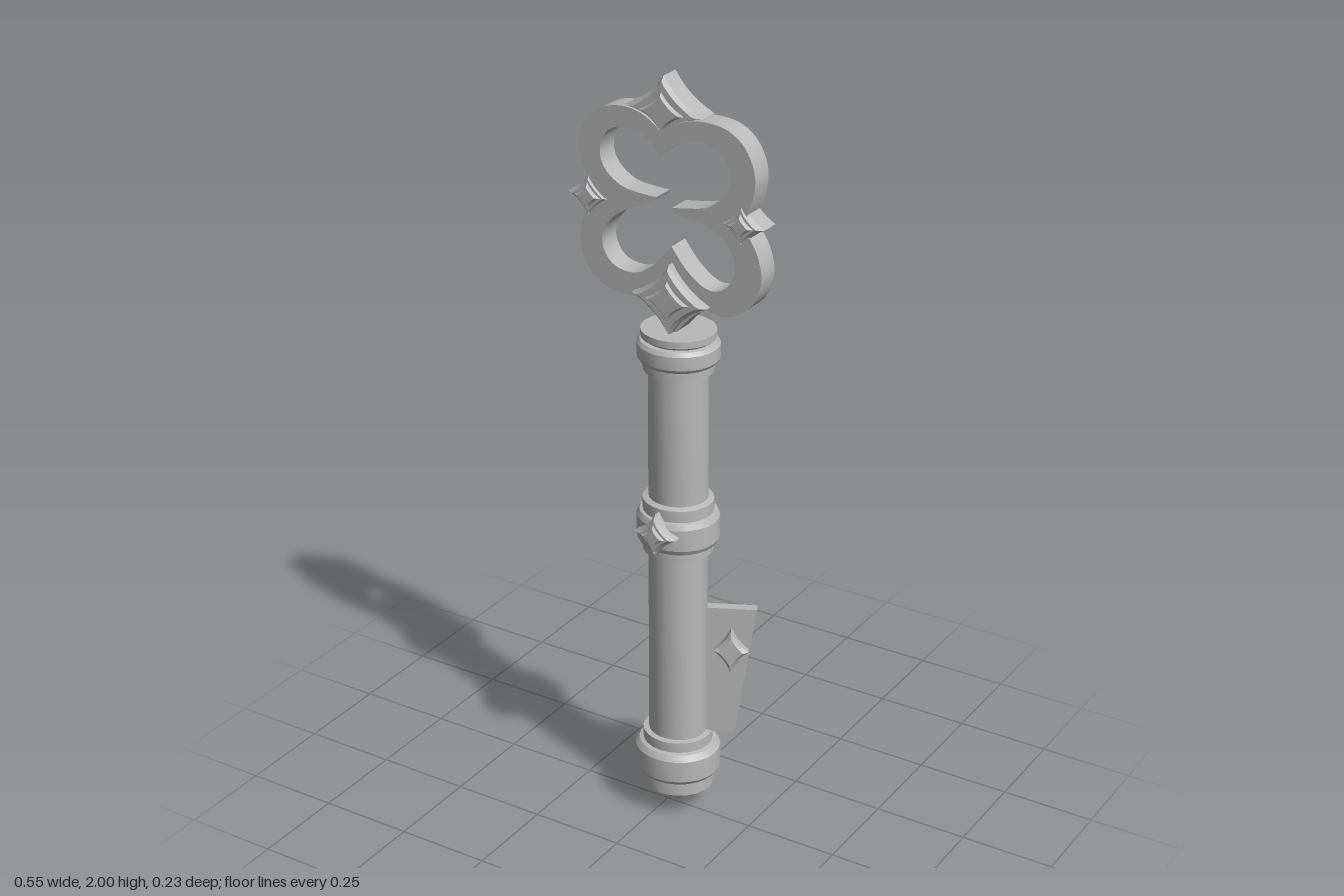
import * as THREE from 'three';
import { toCreasedNormals } from 'three/addons/utils/BufferGeometryUtils.js';

const metal = new THREE.MeshStandardMaterial({ color: 0xb8b8b8 });
metal.name = 'grey metal';

function part(name, geometry, crease = 0.45) {
  const mesh = new THREE.Mesh(toCreasedNormals(geometry, crease), metal);
  mesh.name = name;
  return mesh;
}

// Four-pointed plate with concave sides and chamfered rims, from z0 to z1
function starPlate(w, h, z0, z1, bevel) {
  const k = 0.34;
  const s = new THREE.Shape();
  s.moveTo(w, 0);
  s.quadraticCurveTo(w * k, h * k, 0, h);
  s.quadraticCurveTo(-w * k, h * k, -w, 0);
  s.quadraticCurveTo(-w * k, -h * k, 0, -h);
  s.quadraticCurveTo(w * k, -h * k, w, 0);
  const g = new THREE.ExtrudeGeometry(s, {
    depth: z1 - z0 - 2 * bevel, curveSegments: 6, bevelEnabled: true,
    bevelThickness: bevel, bevelSize: bevel, bevelOffset: -bevel, bevelSegments: 1,
  });
  return g.translate(0, 0, z0 + bevel);
}

// Star ornament: thick plate plus a smaller raised star on its front
function ornament(name, x, y, w, h, z0, z1) {
  const group = new THREE.Group();
  group.name = name;
  group.position.set(x, y, 0);
  group.add(part('starBase', starPlate(w, h, z0, z1 - 0.008, 0.009)));
  group.add(part('starBoss', starPlate(w * 0.56, h * 0.56, z1 - 0.02, z1, 0.005)));
  return group;
}

// Smooth curve through each run of points, sharp where runs meet
function curvedPath(path, start, runs) {
  path.moveTo(...start);
  for (const run of runs) path.splineThru(run.map(([x, y]) => new THREE.Vector2(x, y)));
  return path;
}

export function createModel() {
  const key = new THREE.Group();
  key.name = 'key';
  const axisX = 0.025, axisZ = -0.01;

  // Shaft with its pointed tip and three collars
  const profile = [
    [0, 0], [0.074, 0.066], [0.094, 0.07], [0.094, 0.108], [0.102, 0.11], [0.111, 0.122],
    [0.111, 0.182], [0.1, 0.197], [0.09, 0.2], [0.09, 0.228], [0.075, 0.23],
    [0.075, 0.76], [0.09, 0.763], [0.09, 0.785], [0.098, 0.787], [0.105, 0.8],
    [0.105, 0.858], [0.098, 0.872], [0.09, 0.874], [0.09, 0.905], [0.075, 0.91],
    [0.075, 1.255], [0.088, 1.258], [0.088, 1.28], [0.096, 1.283], [0.103, 1.293],
    [0.103, 1.328], [0.096, 1.338], [0.085, 1.34], [0.094, 1.347], [0.094, 1.365], [0, 1.365],
  ].map(([r, y]) => new THREE.Vector2(r, y));
  const shaft = part('shaft', new THREE.LatheGeometry(profile, 24));
  shaft.position.set(axisX, 0, axisZ);
  shaft.scale.set(1.02, 1, 0.97);
  key.add(shaft);

  // Open four-lobed bow
  const outline = curvedPath(new THREE.Shape(), [-0.01, 1.87], [
    [[-0.055, 1.9], [-0.11, 1.912], [-0.17, 1.9], [-0.22, 1.86], [-0.24, 1.8], [-0.225, 1.735], [-0.19, 1.675]],
    [[-0.225, 1.62], [-0.24, 1.55], [-0.215, 1.48], [-0.15, 1.437], [-0.07, 1.435]],
    [[0.03, 1.36]],
    [[0.105, 1.435], [0.18, 1.437], [0.245, 1.48], [0.271, 1.55], [0.255, 1.62], [0.215, 1.675]],
    [[0.24, 1.73], [0.25, 1.8], [0.225, 1.865], [0.175, 1.903], [0.11, 1.912], [0.05, 1.9], [-0.01, 1.87]],
  ]);
  outline.holes.push(curvedPath(new THREE.Path(), [-0.01, 1.81], [
    [[-0.055, 1.85], [-0.115, 1.86], [-0.16, 1.84], [-0.18, 1.79], [-0.165, 1.745], [-0.12, 1.712], [-0.065, 1.703], [-0.02, 1.702]],
    [[-0.025, 1.692]],
    [[-0.07, 1.67], [-0.125, 1.642], [-0.165, 1.6], [-0.175, 1.55], [-0.145, 1.505], [-0.085, 1.495], [-0.03, 1.525], [0.022, 1.585]],
    [[0.068, 1.53], [0.125, 1.495], [0.175, 1.51], [0.2, 1.565], [0.178, 1.62], [0.125, 1.655], [0.07, 1.665], [0.028, 1.672]],
    [[0.024, 1.684]],
    [[0.065, 1.69], [0.125, 1.705], [0.17, 1.745], [0.186, 1.79], [0.16, 1.843], [0.1, 1.86], [0.045, 1.845], [-0.01, 1.81]],
  ]));
  const bow = new THREE.ExtrudeGeometry(outline, { depth: 0.062, curveSegments: 4, bevelEnabled: false });
  key.add(part('bow', bow.translate(0, 0, -0.043)));

  // Star ornaments around the bow and on the middle collar
  key.add(
    ornament('topStar', -0.01, 1.912, 0.108, 0.088, -0.059, 0.02),
    ornament('rightStar', -0.214, 1.668, 0.062, 0.059, -0.047, 0.031),
    ornament('leftStar', 0.214, 1.675, 0.06, 0.056, -0.047, 0.031),
    ornament('bottomStar', 0.025, 1.452, 0.106, 0.092, -0.046, 0.052),
    ornament('collarStar', 0.024, 0.84, 0.059, 0.059, 0.07, 0.115),
  );

  // Tapered bit, turned back from the shaft, with a star on both faces
  const bit = new THREE.Group();
  bit.name = 'bit';
  bit.position.set(axisX, 0, axisZ);
  bit.rotation.y = 0.45;
  const bladeShape = new THREE.Shape([[0.04, 0.225], [0.15, 0.225], [0.204, 0.595], [0.04, 0.595]]
    .map(([x, y]) => new THREE.Vector2(x, y)));
  const blade = new THREE.ExtrudeGeometry(bladeShape, { depth: 0.026, bevelEnabled: false });
  bit.add(part('blade', blade.translate(0, 0, -0.013)));
  const bitStar = part('bitStar', starPlate(0.045, 0.063, -0.038, 0.04, 0.008));
  bitStar.position.set(0.139, 0.48, 0);
  bit.add(bitStar);
  key.add(bit);

  return key;
}
